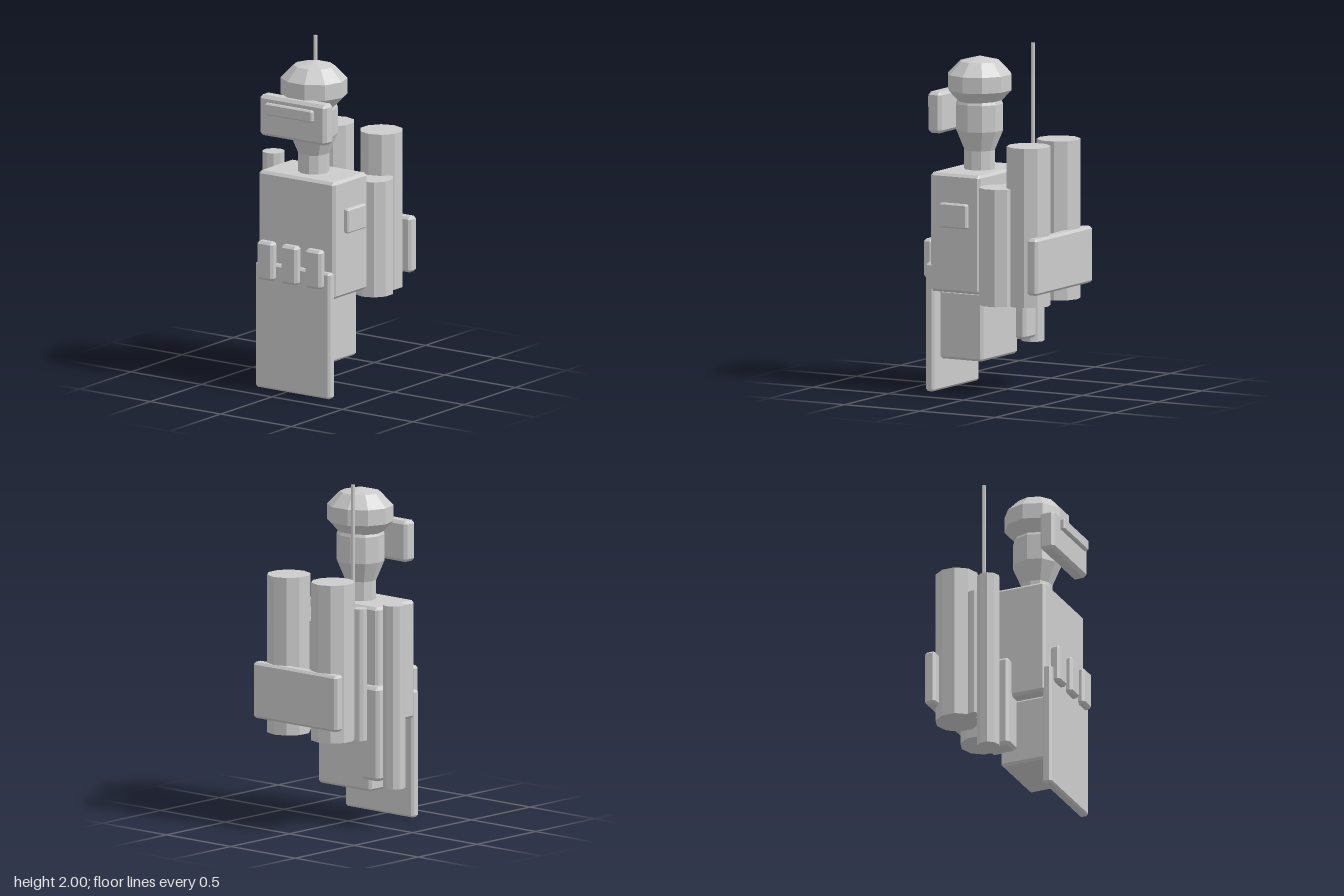
import * as THREE from 'three';
import { ConvexGeometry } from 'three/addons/geometries/ConvexGeometry.js';

export function createModel() {
  const model = new THREE.Group();
  const material = new THREE.MeshStandardMaterial({ color: 0xcccccc, flatShading: true });

  function add(name, geometry, x, y, z) {
    const mesh = new THREE.Mesh(geometry, material);
    mesh.name = name;
    mesh.position.set(x, y, z);
    model.add(mesh);
    return mesh;
  }

  // Box with chamfered edges, given by its limits on each axis
  function block(name, [x0, x1], [y0, y1], [z0, z1], bevel) {
    const a = (x1 - x0) / 2, b = (y1 - y0) / 2, c = (z1 - z0) / 2;
    const points = [];
    for (const i of [-1, 1]) for (const j of [-1, 1]) for (const k of [-1, 1]) {
      points.push(
        new THREE.Vector3(i * a, j * (b - bevel), k * (c - bevel)),
        new THREE.Vector3(i * (a - bevel), j * b, k * (c - bevel)),
        new THREE.Vector3(i * (a - bevel), j * (b - bevel), k * c));
    }
    return add(name, new ConvexGeometry(points), (x0 + x1) / 2, (y0 + y1) / 2, (z0 + z1) / 2);
  }

  // Upright cylinder between two heights
  function tube(name, x, z, radius, y0, y1, sides = 10) {
    return add(name, new THREE.CylinderGeometry(radius, radius, y1 - y0, sides), x, (y0 + y1) / 2, z);
  }

  // Faceted ball with its own radius on each axis
  function ball(name, x, y, z, rx, ry, rz) {
    return add(name, new THREE.SphereGeometry(1, 10, 5).scale(rx, ry, rz), x, y, z);
  }

  // Body
  block('torso', [-0.222, 0.318], [0.585, 1.275], [0, 0.33], 0.016);
  block('hips', [-0.155, 0.255], [0.188, 0.587], [0.018, 0.303], 0.014);
  block('apron', [-0.218, 0.31], [0, 0.745], [0.31, 0.366], 0.012);
  for (const x of [-0.126, 0.044, 0.214]) {
    block('pouch', [x - 0.057, x + 0.057], [0.65, 0.878], [0.344, 0.404], 0.015);
  }
  block('sidePatch', [0.322, 0.357], [0.965, 1.108], [0.066, 0.246], 0.008);
  block('holster', [-0.267, -0.13], [0.27, 0.82], [-0.043, 0.12], 0.018);

  // Neck and head
  tube('neck', 0.047, 0.157, 0.09, 1.25, 1.45).rotation.y = Math.PI / 2;
  ball('head', 0.047, 1.578, 0.157, 0.146, 0.25, 0.146);
  ball('helmet', 0.047, 1.78, 0.155, 0.207, 0.15, 0.194);
  block('visor', [-0.19, 0.282], [1.495, 1.735], [0.28, 0.37], 0.018);
  block('visorSlit', [-0.121, 0.214], [1.632, 1.702], [0.377, 0.408], 0.008);

  // Backpack with its tanks and aerial
  block('backpack', [-0.15, 0.24], [0.6, 1.2], [-0.2, -0.005], 0.015);
  block('packBracket', [-0.18, -0.1], [0.8, 1.0], [-0.2, -0.078], 0.015);
  for (const x of [-0.125, 0.218]) tube('rearTank', x, -0.268, 0.127, 0.535, 1.458);
  block('rearBand', [-0.276, 0.37], [0.615, 0.943], [-0.41, -0.34], 0.014);
  tube('sideTank', 0.282, -0.107, 0.115, 0.535, 1.215);
  tube('thinTube', -0.204, -0.122, 0.039, 0.52, 1.292);
  tube('sideTube', -0.334, 0.024, 0.066, 0.238, 1.31);
  tube('aerial', -0.126, -0.098, 0.012, 1.1, 2, 8);

  return model;
}
